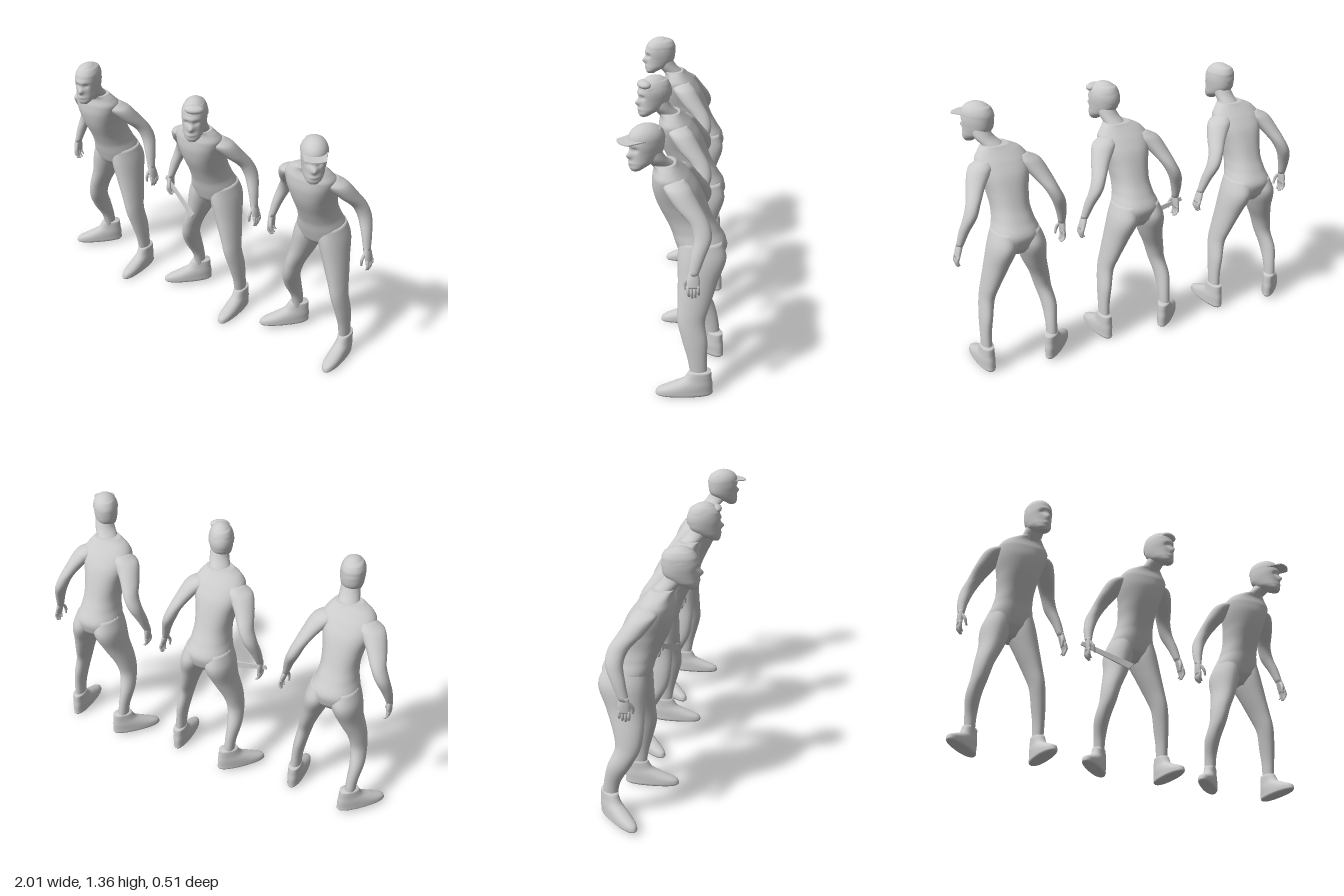
import * as THREE from 'three';

const mat = new THREE.MeshStandardMaterial({ color: 0xcccccc, side: THREE.DoubleSide });

function part(name, geometry, parent) {
  const m = new THREE.Mesh(geometry, mat);
  m.name = name;
  parent.add(m);
  return m;
}

// Smooth skin through level oval rings, each station [x, y, z, radiusX, radiusZ], bottom to top
function loft(stations, sides = 20, steps = 5, power = 2, deform) {
  const st = stations[0][1] > stations[stations.length - 1][1] ? [...stations].reverse() : stations;
  const centre = new THREE.CatmullRomCurve3(st.map(s => new THREE.Vector3(s[0], s[1], s[2])));
  const size = new THREE.CatmullRomCurve3(st.map(s => new THREE.Vector3(s[3], 0, s[4])));
  const n = (st.length - 1) * steps, pos = [], idx = [], v = new THREE.Vector3();
  const round = t => Math.sign(t) * Math.abs(t) ** (2 / power);
  for (let i = 0; i <= n; i++) {
    const c = centre.getPoint(i / n), r = size.getPoint(i / n);
    for (let j = 0; j < sides; j++) {
      const a = (j / sides) * Math.PI * 2;
      v.set(c.x + r.x * round(Math.sin(a)), c.y, c.z + r.z * round(Math.cos(a)));
      if (deform) deform(v);
      pos.push(v.x, v.y, v.z);
      if (i < n) {
        const p = i * sides + j, q = i * sides + (j + 1) % sides;
        idx.push(p, q, q + sides, p, q + sides, p + sides);
      }
    }
  }
  // end caps
  for (const [k, row] of [[0, 0], [st.length - 1, n]]) {
    const c = pos.length / 3;
    pos.push(st[k][0], st[k][1], st[k][2]);
    for (let j = 0; j < sides; j++) {
      const p = row * sides + j, q = row * sides + (j + 1) % sides;
      idx.push(...(row ? [c, p, q] : [c, q, p]));
    }
  }
  const g = new THREE.BufferGeometry();
  g.setAttribute('position', new THREE.Float32BufferAttribute(pos, 3));
  g.setIndex(idx);
  g.computeVertexNormals();
  return g;
}

const torso = [
  [-0.015, 0.645, -0.12, 0.06, 0.06], [-0.015, 0.69, -0.115, 0.115, 0.105],
  [-0.015, 0.75, -0.11, 0.12, 0.122], [-0.014, 0.81, -0.085, 0.102, 0.115],
  [-0.013, 0.87, -0.055, 0.095, 0.112], [-0.014, 0.95, -0.02, 0.106, 0.115],
  [-0.015, 1.03, 0.008, 0.128, 0.108], [-0.012, 1.09, 0.03, 0.135, 0.085],
  [-0.008, 1.13, 0.045, 0.108, 0.062], [0.008, 1.155, 0.06, 0.068, 0.055]
];

const legs = {
  right: [[-0.07, 0.77, -0.11, 0.06, 0.1], [-0.083, 0.69, -0.122, 0.075, 0.118], [-0.106, 0.58, -0.105, 0.062, 0.095],
    [-0.143, 0.47, -0.085, 0.048, 0.074], [-0.16, 0.39, -0.085, 0.042, 0.062], [-0.174, 0.3, -0.125, 0.038, 0.058],
    [-0.168, 0.2, -0.165, 0.029, 0.04], [-0.165, 0.1, -0.178, 0.026, 0.036]],
  left: [[0.045, 0.77, -0.11, 0.06, 0.1], [0.06, 0.69, -0.118, 0.071, 0.115], [0.09, 0.58, -0.1, 0.06, 0.095],
    [0.122, 0.47, -0.082, 0.045, 0.078], [0.142, 0.39, -0.07, 0.037, 0.066], [0.16, 0.29, -0.088, 0.033, 0.06],
    [0.17, 0.2, -0.1, 0.028, 0.047], [0.173, 0.1, -0.11, 0.026, 0.04]]
};

const arms = {
  right: [[-0.105, 1.1, 0.01, 0.035, 0.04], [-0.14, 1.065, -0.005, 0.066, 0.064], [-0.185, 1.0, -0.05, 0.052, 0.06],
    [-0.222, 0.93, -0.105, 0.038, 0.048], [-0.25, 0.87, -0.118, 0.035, 0.042], [-0.275, 0.79, -0.095, 0.027, 0.033],
    [-0.288, 0.71, -0.068, 0.017, 0.023]],
  left: [[0.08, 1.1, 0.01, 0.035, 0.04], [0.11, 1.065, -0.005, 0.062, 0.064], [0.155, 1.0, -0.05, 0.047, 0.06],
    [0.193, 0.93, -0.105, 0.035, 0.046], [0.217, 0.87, -0.12, 0.033, 0.042], [0.247, 0.79, -0.1, 0.025, 0.033],
    [0.268, 0.71, -0.08, 0.017, 0.023]]
};

const shoe = [
  [0, 0, 0.07, 0.034, 0.132], [0, 0.01, 0.07, 0.041, 0.14], [0, 0.032, 0.066, 0.041, 0.135],
  [0, 0.06, 0.035, 0.039, 0.103], [0, 0.09, 0.005, 0.034, 0.068], [0, 0.135, -0.008, 0.031, 0.052]
];

const skull = [
  [0, 0, 0.055, 0.022, 0.022], [0, 0.015, 0.046, 0.038, 0.038], [0, 0.04, 0.018, 0.052, 0.066],
  [0, 0.075, 0, 0.059, 0.082], [0, 0.115, -0.003, 0.063, 0.086], [0, 0.155, -0.006, 0.061, 0.083],
  [0, 0.185, -0.01, 0.047, 0.064], [0, 0.2, -0.012, 0.018, 0.025]
];

// Nose, eye sockets, brow and lips pushed out of the front of the head
function face(v) {
  if (v.z < 0.02) return;
  const bell = (t, w) => Math.exp(-((t / w) ** 2));
  v.z += 0.023 * bell(v.x, 0.012) * bell(v.y - 0.076, 0.018)
    - 0.012 * bell(Math.abs(v.x) - 0.025, 0.013) * bell(v.y - 0.104, 0.012)
    + 0.006 * bell(v.x, 0.04) * bell(v.y - 0.125, 0.012)
    + 0.006 * bell(v.x, 0.02) * bell(v.y - 0.04, 0.01);
}

function makeHand(side, parent) {
  const hand = new THREE.Group();
  hand.name = side + 'Hand';
  const s = side === 'left' ? 1 : -1;
  part('palm', loft([[0, 0.015, 0, 0.015, 0.021], [0.004, -0.025, 0, 0.014, 0.03], [0.006, -0.06, 0, 0.011, 0.031]], 14), hand);
  for (let i = 0; i < 4; i++) {
    const z = 0.023 - i * 0.015, len = [0.045, 0.052, 0.048, 0.036][i];
    part('finger', loft([[0.006, -0.05, z, 0.009, 0.009], [0.008, -0.06 - len / 2, z, 0.008, 0.008],
      [-0.004, -0.06 - len, z - 0.004, 0.005, 0.005]], 8, 3), hand);
  }
  part('thumb', loft([[0, -0.005, 0.014, 0.01, 0.012], [-0.012, -0.04, 0.035, 0.009, 0.01],
    [-0.02, -0.075, 0.035, 0.005, 0.006]], 8, 4), hand);
  const w = arms[side][arms[side].length - 1];
  hand.position.set(w[0], w[1], w[2]);
  hand.scale.x = s;
  hand.rotation.z = s > 0 ? 0.2 : 0.05;
  parent.add(hand);
}

function dome(name, rx, ry, rz, y, z, tilt, parent) {
  const m = part(name, new THREE.SphereGeometry(1, 28, 12, 0, Math.PI * 2, 0, Math.PI / 2), parent);
  m.scale.set(rx, ry, rz);
  m.position.set(0, y, z);
  m.rotation.x = tilt;
}

function makeHead(kind, turn, x) {
  const head = new THREE.Group();
  head.name = 'head';
  part('face', loft(skull, 40, 7, 2.2, face), head);
  if (kind === 'skullCap') dome('skullCap', 0.064, 0.08, 0.087, 0.126, -0.005, -0.12, head);
  if (kind === 'hair') {
    dome('hair', 0.067, 0.087, 0.09, 0.122, -0.008, -0.3, head);
    const tuft = part('frontHair', new THREE.SphereGeometry(1, 20, 14), head);
    tuft.scale.set(0.05, 0.022, 0.035);
    tuft.position.set(0.008, 0.17, 0.055);
  }
  if (kind === 'cap') {
    dome('capCrown', 0.067, 0.07, 0.09, 0.139, -0.004, -0.05, head);
    const s = new THREE.Shape();
    s.moveTo(-0.06, 0.03);
    s.lineTo(-0.052, 0.12);
    s.quadraticCurveTo(0, 0.155, 0.052, 0.12);
    s.lineTo(0.06, 0.03);
    const g = new THREE.ExtrudeGeometry(s, { depth: 0.006, bevelEnabled: false, curveSegments: 12 });
    const brim = part('capBrim', g.rotateX(Math.PI / 2), head);
    brim.position.y = 0.152;
    brim.rotation.x = 0.05;
  }
  head.position.set(x, 1.148, 0.138);
  head.rotation.y = turn;
  return head;
}

function makeFigure({ kind, turn, headX, blade }) {
  const fig = new THREE.Group();
  part('torso', loft(torso, 36, 6, 2.3), fig);
  part('neck', loft([[0, 1.09, 0.03, 0.066, 0.058], [0.012, 1.145, 0.062, 0.055, 0.055],
    [headX * 0.8, 1.19, 0.1, 0.05, 0.053], [headX, 1.24, 0.12, 0.045, 0.045]]), fig);
  for (const side of ['left', 'right']) {
    part(side + 'Leg', loft(legs[side], 24), fig);
    part(side + 'Arm', loft(arms[side], 20), fig);
    makeHand(side, fig);
    const foot = part(side + 'Shoe', loft(shoe, 28, 4, 2.3), fig);
    const isLeft = side === 'left';
    foot.position.set(isLeft ? 0.175 : -0.167, isLeft ? 0 : 0.015, isLeft ? -0.108 : -0.175);
    foot.rotation.y = isLeft ? 0.04 : -0.75;
  }
  fig.add(makeHead(kind, turn, headX));

  // Long flat blade held across the thigh
  if (blade) {
    const s = new THREE.Shape();
    [[0, -0.01], [0.1, -0.013], [0.29, -0.022], [0.3, 0.016], [0.1, 0.013], [0, 0.012]]
      .forEach((p, i) => (i ? s.lineTo(...p) : s.moveTo(...p)));
    const g = new THREE.ExtrudeGeometry(s, { depth: 0.008, bevelEnabled: false });
    const m = part('machete', g, fig);
    const from = new THREE.Vector3(-0.325, 0.69, -0.075), to = new THREE.Vector3(-0.06, 0.57, 0.015);
    m.position.copy(from);
    m.quaternion.setFromUnitVectors(new THREE.Vector3(1, 0, 0), to.sub(from).normalize());
  }
  return fig;
}

export function createModel() {
  const group = new THREE.Group();
  const figures = [
    { name: 'cappedFigure', x: -0.69, kind: 'skullCap', turn: 0.25, headX: 0.027 },
    { name: 'armedFigure', x: 0.02, kind: 'hair', turn: 0.45, headX: 0.04, blade: true },
    { name: 'brimmedCapFigure', x: 0.7, kind: 'cap', turn: 0.6, headX: 0.06 }
  ];
  for (const f of figures) {
    const fig = makeFigure(f);
    fig.name = f.name;
    fig.position.x = f.x;
    group.add(fig);
  }
  return group;
}
